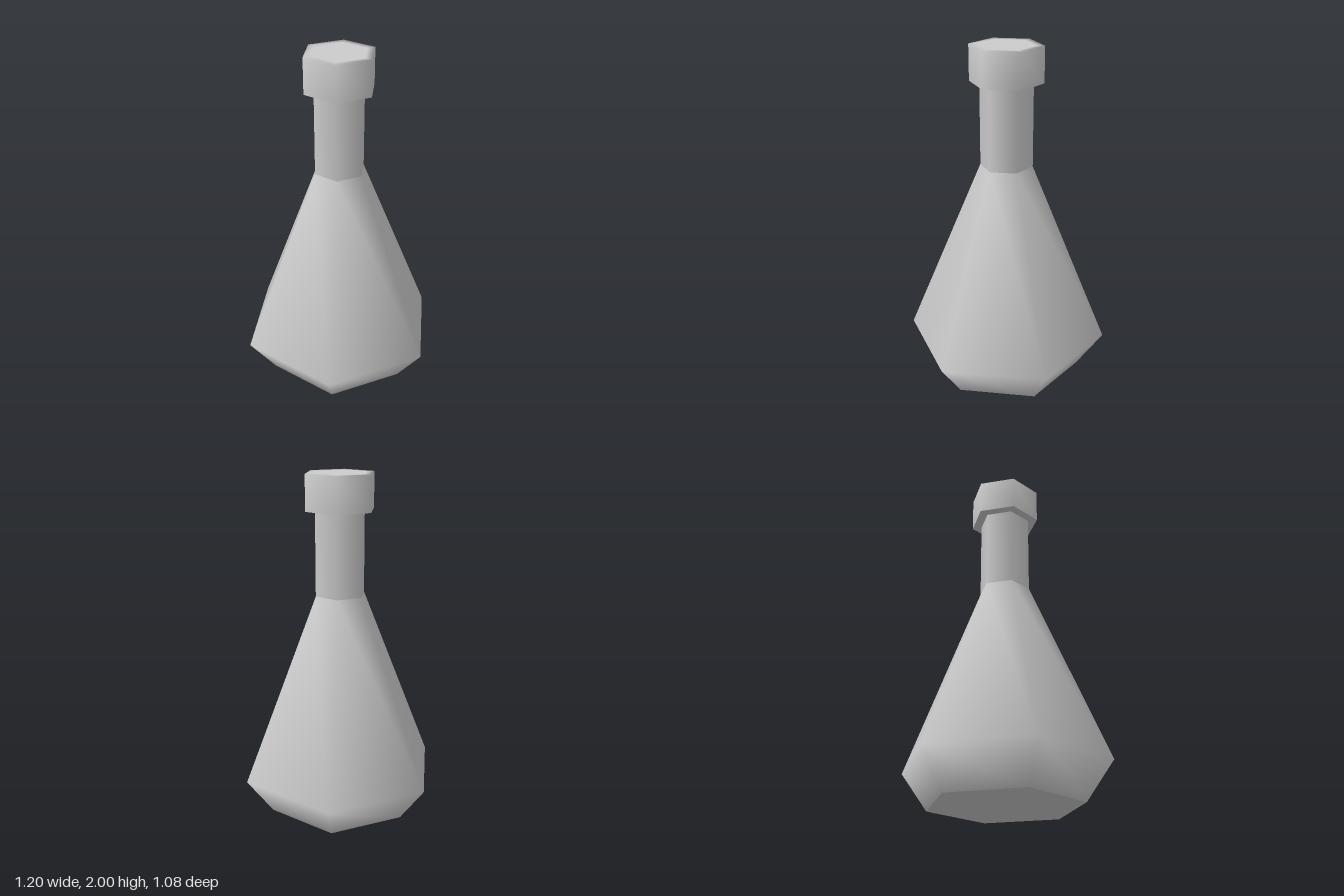
import * as THREE from 'three';

const SIDES = 6;
const TURN = THREE.MathUtils.degToRad(33.8);

// Six-sided smooth lathe from [radius, height] pairs, listed bottom to top
function turned(name, profile, material) {
  const points = profile.map(([r, y]) => new THREE.Vector2(r, y));
  const mesh = new THREE.Mesh(new THREE.LatheGeometry(points, SIDES, TURN), material);
  mesh.name = name;
  return mesh;
}

export function createModel() {
  const group = new THREE.Group();
  group.name = 'flask';
  const grey = new THREE.MeshStandardMaterial({ color: 0xcccccc });

  // Flat base, kept apart from the body for a sharp lower edge
  group.add(turned('base', [[0, 0], [0.445, 0]], grey));

  // Undercut foot and tapering body, blended smoothly at the widest point
  group.add(turned('body', [[0.445, 0], [0.602, 0.22], [0.152, 1.31]], grey));

  // Straight neck
  group.add(turned('neck', [[0.152, 1.31], [0.152, 1.8]], grey));

  // Stopper: flat underside, then sides that shade softly into the top rim
  group.add(turned('stopperUnderside', [[0.14, 1.795], [0.21, 1.795]], grey));
  group.add(turned('stopper', [[0.21, 1.795], [0.21, 2], [0.165, 2], [0, 2]], grey));

  return group;
}
